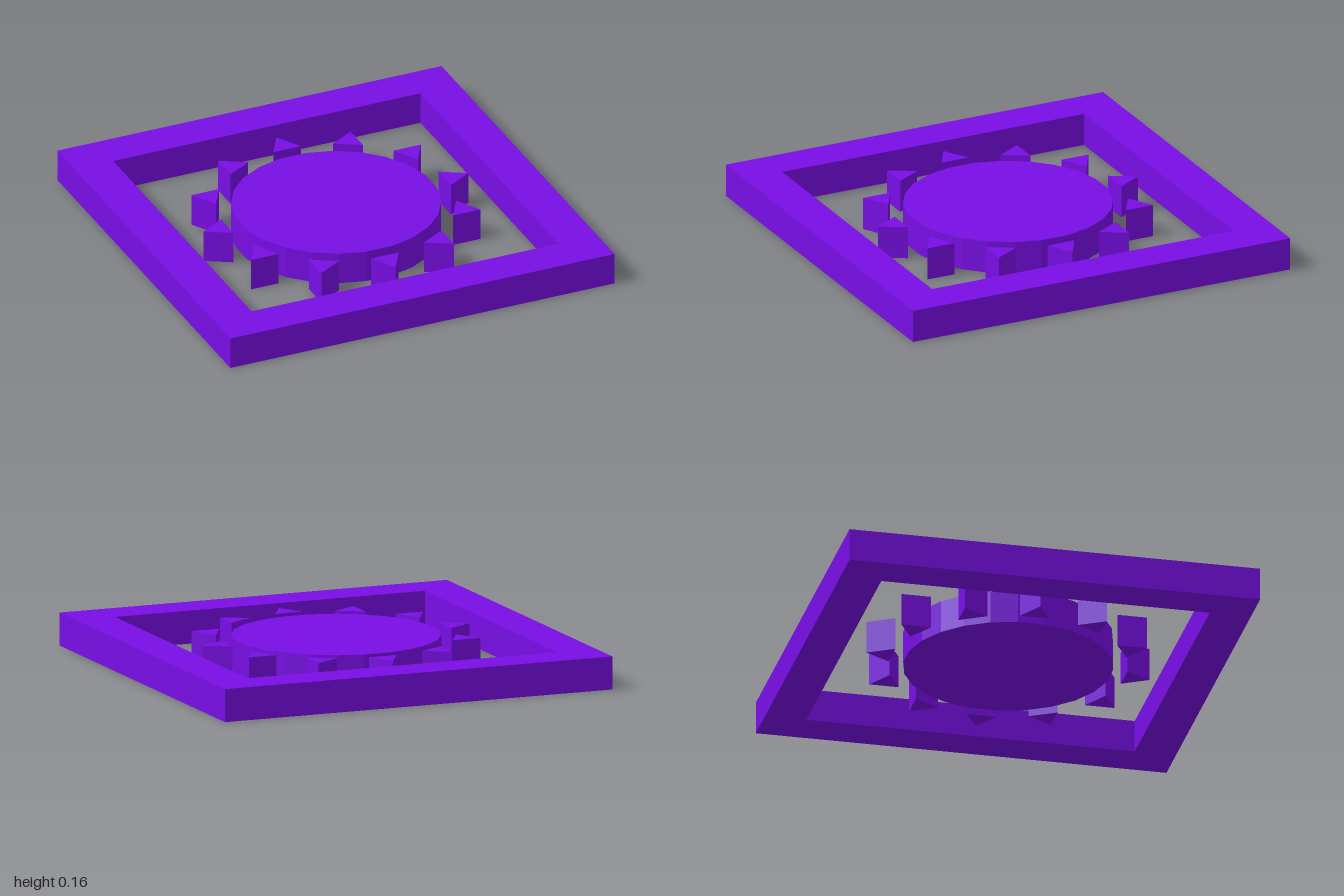
import * as THREE from 'three';

const HEIGHT = 0.16;

export function createModel() {
  const model = new THREE.Group();
  const material = new THREE.MeshStandardMaterial({ color: 0x780ee4, flatShading: true });

  // Square frame with a square opening
  const square = (Type, r) => new Type([[-r, -r], [r, -r], [r, r], [-r, r]].map(([x, y]) => new THREE.Vector2(x, y)));
  const outline = square(THREE.Shape, 1);
  outline.holes.push(square(THREE.Path, 0.8));
  const frameGeometry = new THREE.ExtrudeGeometry(outline, { depth: HEIGHT, bevelEnabled: false });
  frameGeometry.rotateX(-Math.PI / 2);
  const frame = new THREE.Mesh(frameGeometry, material);
  frame.name = 'frame';
  model.add(frame);

  // Sun disc, turned so a flat side faces the front
  const disc = new THREE.Mesh(new THREE.CylinderGeometry(0.5, 0.5, HEIGHT, 24), material);
  disc.name = 'sunDisc';
  disc.position.y = HEIGHT / 2;
  disc.rotation.y = Math.PI / 24;
  model.add(disc);

  // Ring of triangular rays pointing outwards
  const rays = new THREE.Group();
  rays.name = 'sunRays';
  const rayGeometry = new THREE.CylinderGeometry(0.083, 0.083, HEIGHT, 3);
  rayGeometry.translate(0, HEIGHT / 2, 0.607);
  for (let i = 0; i < 12; i++) {
    const ray = new THREE.Mesh(rayGeometry, material);
    ray.name = `ray${i + 1}`;
    ray.rotation.y = (i * Math.PI) / 6;
    rays.add(ray);
  }
  model.add(rays);

  return model;
}
